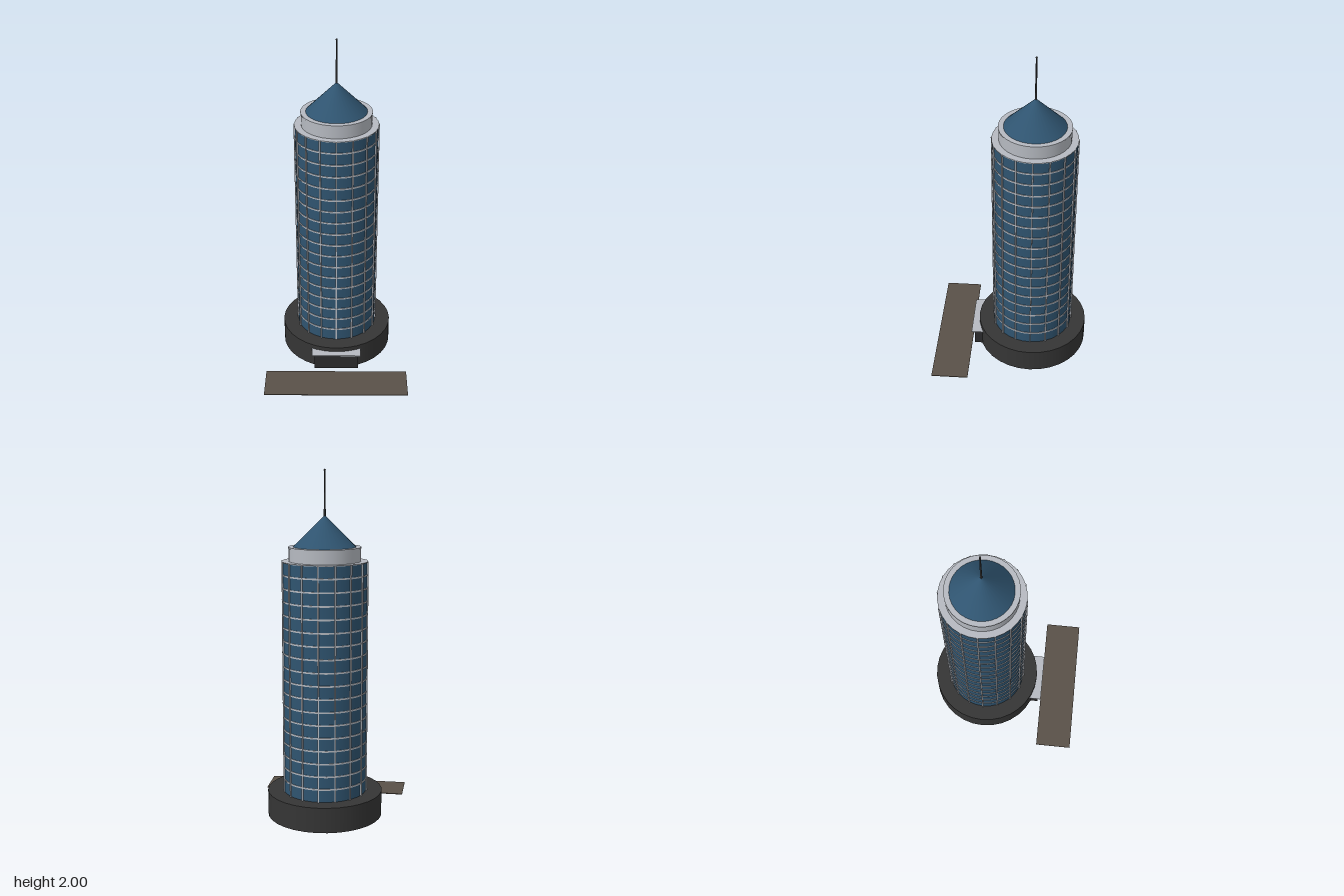
import * as THREE from 'three';

const mat = (name, color, side = THREE.FrontSide) => {
  const m = new THREE.MeshStandardMaterial({ color, side });
  m.name = name;
  return m;
};

export function createModel() {
  const model = new THREE.Group();
  model.name = 'roundTower';

  const glass = mat('blueGlass', 0x2f5470);
  const metal = mat('paleMetal', 0xb6bac1);
  const dark = mat('darkStone', 0x353535);
  const entry = mat('entranceGlass', 0x2c2c2e);
  const paving = mat('brownPaving', 0x5a5148);

  const tower = new THREE.Group();
  tower.name = 'tower';
  tower.position.z = -0.132;
  model.add(tower);

  const add = (parent, name, geometry, material, x = 0, y = 0, z = 0) => {
    const mesh = new THREE.Mesh(geometry, material);
    mesh.name = name;
    mesh.position.set(x, y, z);
    parent.add(mesh);
    return mesh;
  };
  // Upright cylinder between two heights
  const drum = (name, material, rTop, rBottom, y0, y1, sides = 32) =>
    add(tower, name, new THREE.CylinderGeometry(rTop, rBottom, y1 - y0, sides), material, 0, (y0 + y1) / 2);

  // Main masses
  const bottom = 0.15, top = 1.49;
  drum('podium', dark, 0.333, 0.333, 0.004, bottom);
  drum('glassShaft', glass, 0.24, 0.24, bottom, top - 0.004);
  drum('roofSlab', metal, 0.244, 0.244, top - 0.005, top);
  drum('crown', metal, 0.204, 0.204, top, 1.565);
  drum('crownRim', metal, 0.207, 0.207, 1.562, 1.57);

  // Floor bands around the shaft
  const floors = 18, step = (top - bottom) / floors;
  const band = new THREE.CylinderGeometry(0.2435, 0.2435, 0.009, 32);
  for (let i = 1; i < floors; i++) add(tower, 'floorBand', band, metal, 0, bottom + i * step, 0);

  // Vertical mullions
  const mullion = new THREE.BoxGeometry(0.008, top - bottom, 0.012);
  for (let i = 0; i < 16; i++) {
    const a = (i / 16) * Math.PI * 2;
    const bar = add(tower, 'mullion', mullion, metal,
      Math.sin(a) * 0.241, (top + bottom) / 2, Math.cos(a) * 0.241);
    bar.rotation.y = a;
  }

  // Pointed roof and mast
  add(tower, 'coneRoof', new THREE.ConeGeometry(0.178, 0.177, 32), glass, 0, 1.57 + 0.0885 - 0.001, 0);
  drum('mast', dark, 0.004, 0.006, 1.73, 1.995, 8);
  add(tower, 'mastTip', new THREE.SphereGeometry(0.006, 10, 8), dark, 0, 1.994, 0);

  // Entrance with canopy
  add(model, 'entrance', new THREE.BoxGeometry(0.264, 0.102, 0.1), entry, 0, 0.065, 0.172);
  add(model, 'canopy', new THREE.BoxGeometry(0.296, 0.008, 0.09), metal, 0, 0.119, 0.195);

  // Forecourt
  add(model, 'forecourt', new THREE.BoxGeometry(0.854, 0.004, 0.222), paving, 0, 0.002, 0.351);

  return model;
}
